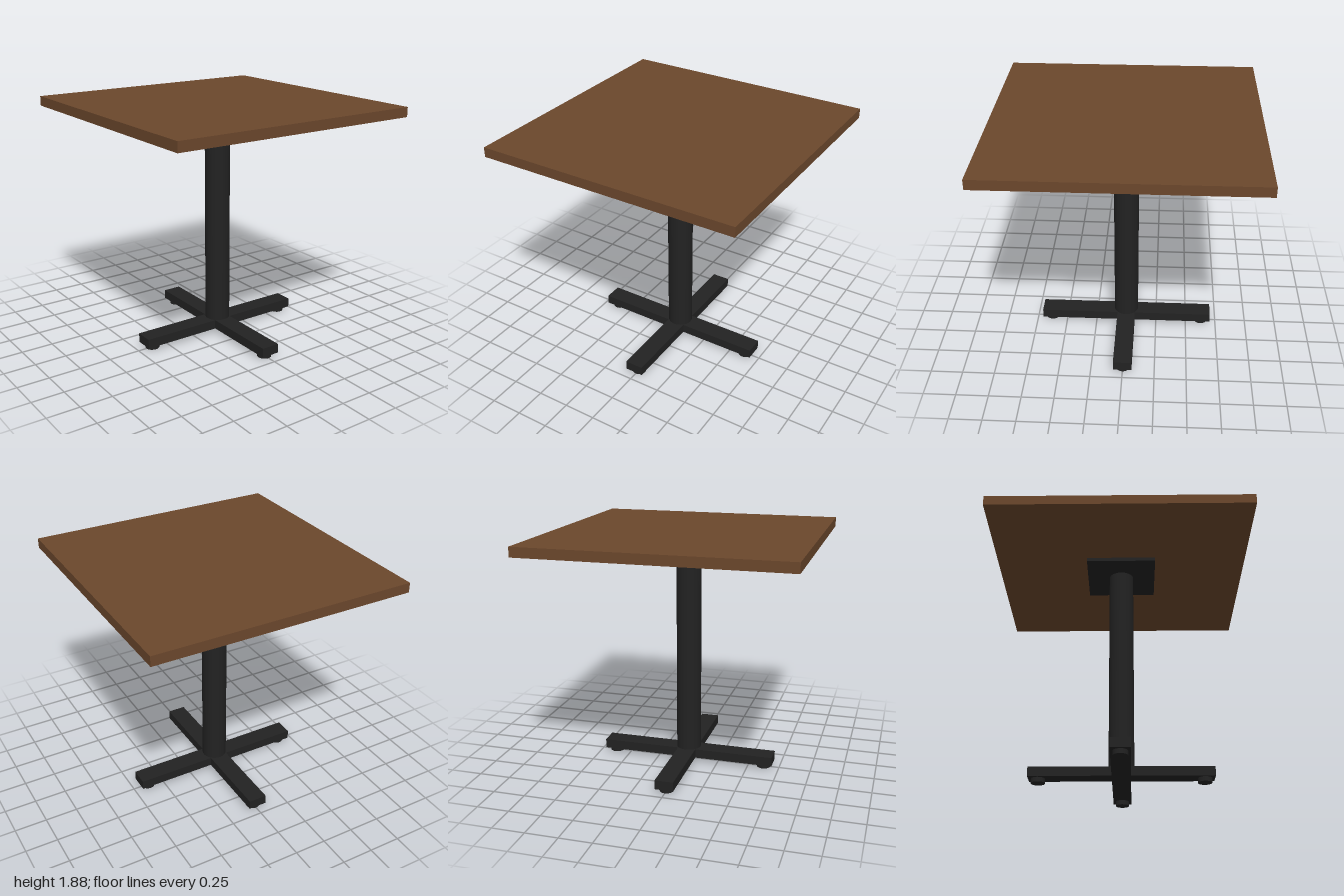
import * as THREE from 'three';

export function createModel() {
  const model = new THREE.Group();
  const wood = new THREE.MeshStandardMaterial({ color: 0x6b472c });
  const metal = new THREE.MeshStandardMaterial({ color: 0x222222 });

  const add = (name, geometry, material, x, y, z) => {
    const mesh = new THREE.Mesh(geometry, material);
    mesh.name = name;
    mesh.position.set(x, y, z);
    model.add(mesh);
    return mesh;
  };

  // Square top and the mounting plate beneath it
  add('tableTop', new THREE.BoxGeometry(2, 0.075, 2), wood, 0, 1.8405, 0);
  add('mountingPlate', new THREE.BoxGeometry(0.55, 0.03, 0.55), metal, 0, 1.788, 0);

  // Round column
  add('column', new THREE.CylinderGeometry(0.0975, 0.0975, 1.665, 32), metal, 0, 0.9405, 0);

  // Crossed base: one full beam and two half beams butting against it
  const beamWidth = 0.145, beamHeight = 0.073, reach = 0.7, beamY = 0.0715;
  const halfLength = reach - beamWidth / 2;
  add('baseBeam', new THREE.BoxGeometry(reach * 2, beamHeight, beamWidth), metal, 0, beamY, 0);
  for (const side of [1, -1]) {
    add(side > 0 ? 'frontBaseArm' : 'backBaseArm',
      new THREE.BoxGeometry(beamWidth, beamHeight, halfLength), metal,
      0, beamY, side * (reach - halfLength / 2));
  }

  // Round levelling foot under each arm end
  const footGeometry = new THREE.CylinderGeometry(0.054, 0.054, 0.035, 24);
  ['leftFoot', 'frontFoot', 'rightFoot', 'backFoot'].forEach((name, i) => {
    const angle = i * Math.PI / 2;
    add(name, footGeometry, metal, Math.cos(angle) * 0.625, 0.0175, Math.sin(angle) * 0.625);
  });

  return model;
}
